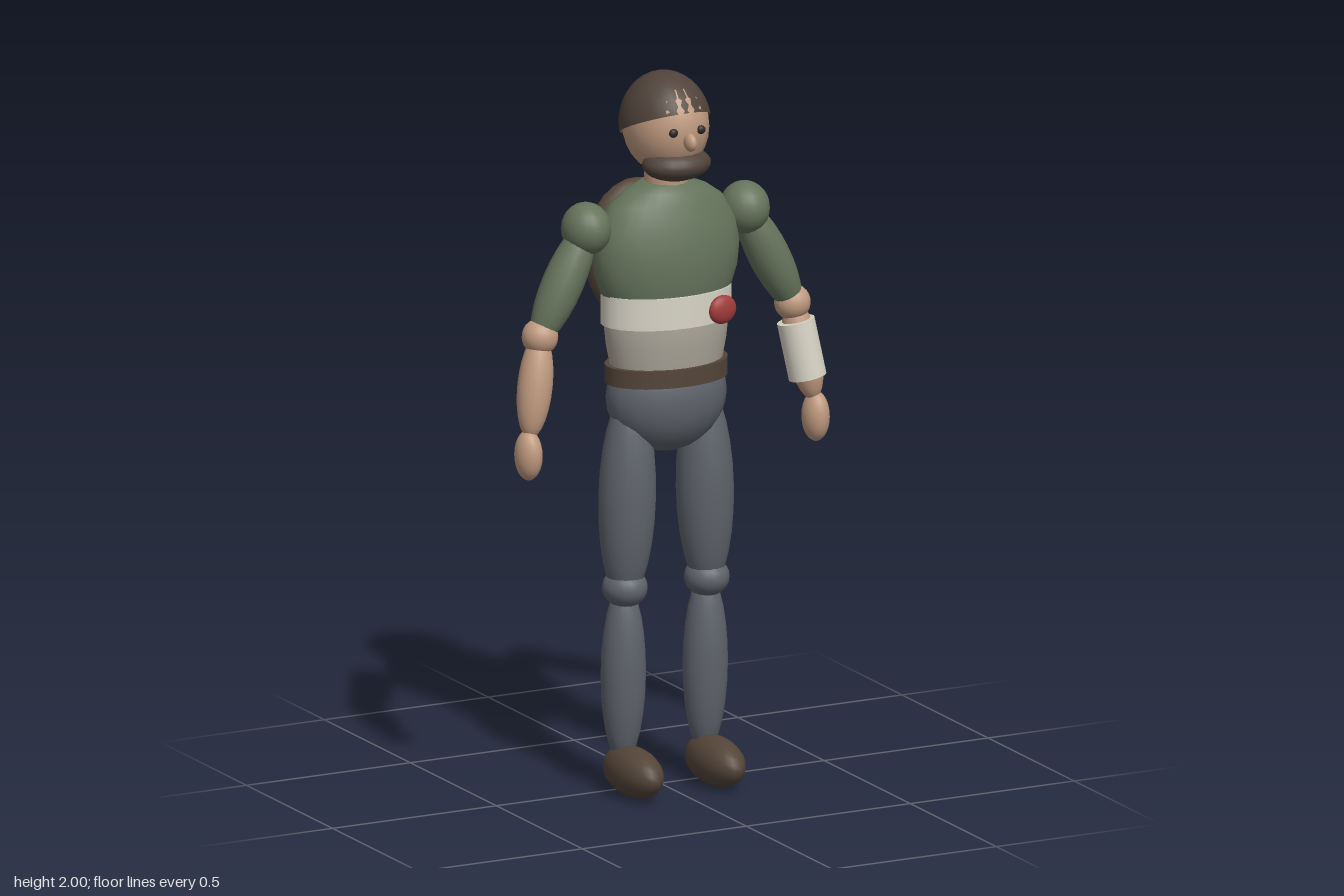
import * as THREE from 'three';
import { mergeVertices } from 'three/addons/utils/BufferGeometryUtils.js';

const material = (name, color, side = THREE.FrontSide) => {
  const m = new THREE.MeshStandardMaterial({ color, side });
  m.name = name;
  return m;
};

export function createModel() {
  const root = new THREE.Group();
  root.name = 'standingMan';

  const skin = material('skin', 0xc09a80);
  const green = material('greenShirt', 0x65745c);
  const shirt = material('greyUndershirt', 0xaaa498);
  const cloth = material('bandageCloth', 0xd8d4c6);
  const trousers = material('trousers', 0x5f636b);
  const leather = material('leather', 0x544539);
  const hair = material('hair', 0x50433a, THREE.DoubleSide);
  const red = material('redPatch', 0xa03c3a);
  const dark = material('eyeDark', 0x2e2824);

  const add = (name, geo, mat, pos = [0, 0, 0], parent = root) => {
    const mesh = new THREE.Mesh(geo, mat);
    mesh.name = name;
    mesh.position.set(...pos);
    parent.add(mesh);
    return mesh;
  };

  // Ellipsoid with centre and three radii
  const ball = (name, mat, pos, radii, parent = root) => {
    const geo = new THREE.SphereGeometry(1, 18, 14).scale(...radii);
    return add(name, geo, mat, pos, parent);
  };

  // Long ellipsoid lying between two points, running a little past both
  const up = new THREE.Vector3(0, 1, 0);
  const limb = (name, mat, a, b, r, over = 1.15) => {
    const p = new THREE.Vector3(...a), q = new THREE.Vector3(...b);
    const half = p.distanceTo(q) / 2 * over;
    const mid = p.clone().add(q).multiplyScalar(0.5);
    const mesh = ball(name, mat, mid.toArray(), [r, half, r]);
    mesh.quaternion.setFromUnitVectors(up, q.sub(p).normalize());
    return mesh;
  };

  // Body of oval cross-sections, rows of [y, half width, half depth] from the bottom up
  const loft = (name, mat, rows, z = 0.033) => {
    let geo = new THREE.LatheGeometry(rows.map(([y, w]) => new THREE.Vector2(w, y)), 28);
    const pos = geo.attributes.position;
    for (let i = 0; i < pos.count; i++) {
      const [, w, d] = rows[i % rows.length];
      pos.setZ(i, w ? pos.getZ(i) * d / w : 0);
    }
    geo.deleteAttribute('uv');
    geo.deleteAttribute('normal');
    geo = mergeVertices(geo, 1e-5);
    geo.computeVertexNormals();
    return add(name, geo, mat, [0, 0, z]);
  };

  // Flat-ended oval band
  const band = (name, mat, y, height, w, d) =>
    add(name, new THREE.CylinderGeometry(1, 1, height, 28).scale(w, 1, d), mat, [0, y, 0.034]);

  // Torso
  loft('chest', green, [
    [1.37, 0, 0], [1.37, 0.178, 0.112], [1.395, 0.19, 0.119], [1.45, 0.209, 0.124], [1.51, 0.215, 0.125],
    [1.58, 0.204, 0.115], [1.645, 0.165, 0.092], [1.677, 0.12, 0.077], [1.70, 0.063, 0.062], [1.702, 0, 0],
  ]);
  loft('waist', shirt, [
    [1.16, 0.158, 0.108], [1.2, 0.164, 0.112], [1.25, 0.174, 0.118], [1.3, 0.18, 0.12], [1.36, 0.18, 0.115],
  ]);
  band('chestBandage', cloth, 1.355, 0.088, 0.19, 0.125);
  band('belt', leather, 1.171, 0.05, 0.178, 0.12);
  ball('pelvis', trousers, [0, 1.1, 0.034], [0.174, 0.157, 0.12]);
  const patch = ball('redPatch', red, [0.113, 1.347, 0.146], [0.044, 0.04, 0.02]);
  patch.rotation.y = 0.15;
  ball('backpack', leather, [0, 1.462, -0.143], [0.154, 0.2, 0.074]);

  // Head
  const head = new THREE.Group();
  head.name = 'head';
  root.add(head);
  const neck = add('neck', new THREE.CylinderGeometry(0.06, 0.062, 0.12, 18), skin, [0, 1.715, 0.037], head);
  neck.rotation.x = 0.08;
  ball('face', skin, [0, 1.857, 0.03], [0.115, 0.14, 0.136], head);
  const cap = new THREE.SphereGeometry(1, 24, 10, 0, Math.PI * 2, 0, Math.PI / 2);
  cap.rotateX(-0.4).scale(0.122, 0.144, 0.138);
  add('hair', cap, hair, [0, 1.856, 0.027], head);
  ball('beard', hair, [0, 1.758, 0.094], [0.098, 0.046, 0.078], head);
  ball('nose', skin, [0, 1.835, 0.174], [0.016, 0.025, 0.026], head);

  for (const s of [-1, 1]) {
    const side = s > 0 ? 'left' : 'right';
    const n = (part) => side + part;
    ball(n('Eye'), dark, [s * 0.042, 1.862, 0.157], [0.013, 0.012, 0.009], head);

    // Arms
    const shoulder = [s * 0.242, 1.59, 0.03], elbow = [s * 0.385, 1.307, 0.034], wrist = [s * 0.432, 1.045, 0.066];
    ball(n('Shoulder'), green, shoulder, [0.067, 0.073, 0.074]);
    limb(n('UpperArm'), green, shoulder, elbow, 0.057);
    ball(n('Elbow'), skin, elbow, [0.05, 0.05, 0.05]);
    limb(n('Forearm'), skin, elbow, wrist, 0.048, 1.08);
    ball(n('Hand'), skin, [s * 0.438, 0.99, 0.068], [0.037, 0.07, 0.045]);

    // Legs
    limb(n('Thigh'), trousers, [s * 0.112, 1.08, 0.034], [s * 0.125, 0.57, 0.032], 0.079);
    ball(n('Knee'), trousers, [s * 0.125, 0.572, 0.032], [0.062, 0.054, 0.064]);
    limb(n('Shin'), trousers, [s * 0.125, 0.55, 0.026], [s * 0.125, 0.11, 0.02], 0.062);
    ball(n('Shoe'), leather, [s * 0.125, 0.068, 0.082], [0.063, 0.068, 0.133]);
  }

  // Bandage around the left forearm
  const wrapTop = new THREE.Vector3(0.391, 1.257, 0.042), wrapEnd = new THREE.Vector3(0.418, 1.1, 0.06);
  const wrap = add('forearmBandage',
    new THREE.CylinderGeometry(0.052, 0.052, wrapTop.distanceTo(wrapEnd), 18), cloth,
    wrapTop.clone().add(wrapEnd).multiplyScalar(0.5).toArray());
  wrap.quaternion.setFromUnitVectors(up, wrapTop.sub(wrapEnd).normalize());

  return root;
}
